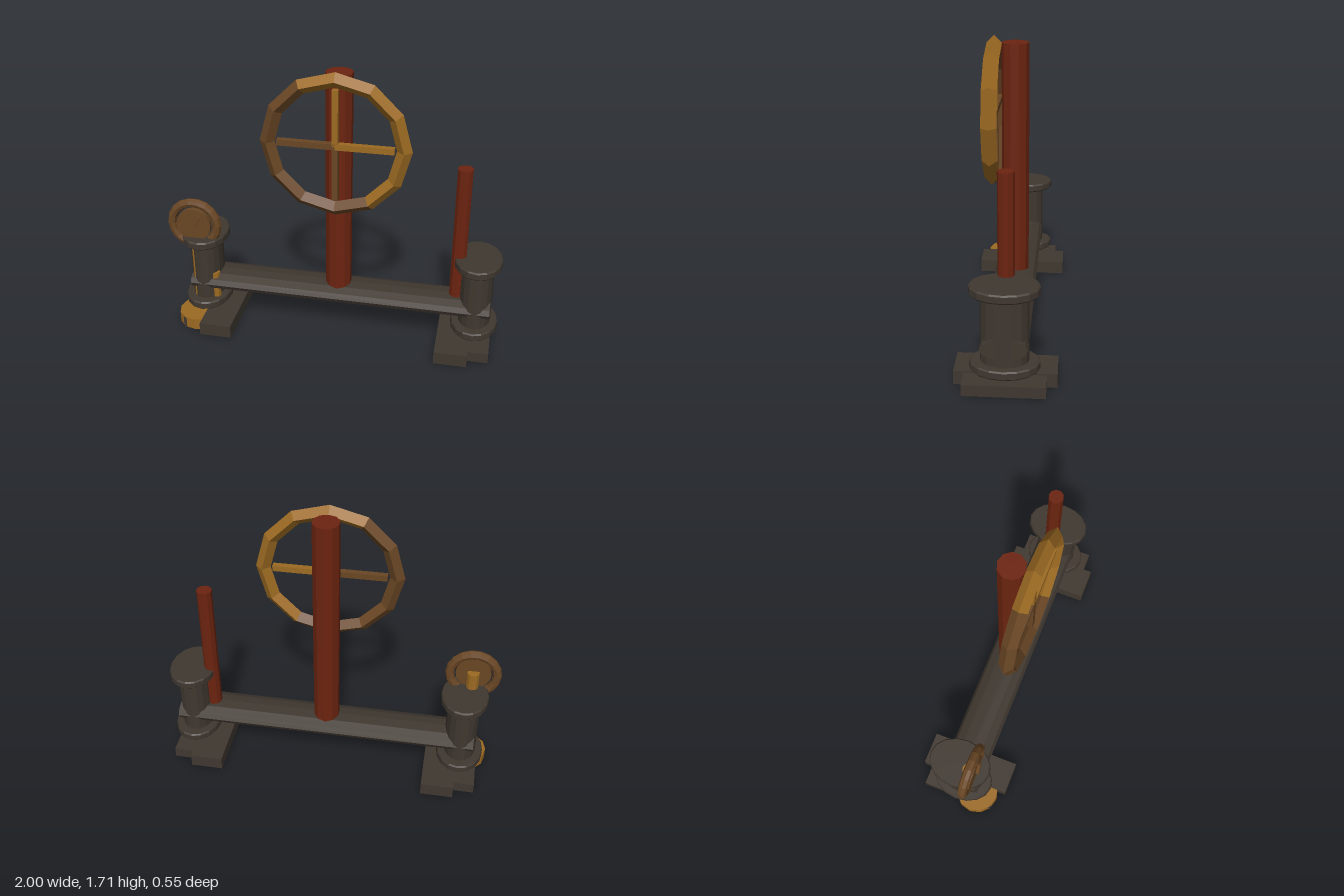
import * as THREE from 'three';

const mat = (name, color) => {
  const m = new THREE.MeshStandardMaterial({ color, flatShading: true });
  m.name = name;
  return m;
};

export function createModel() {
  const iron = mat('dark iron', 0x403830);
  const red = mat('red paint', 0x6c2410);
  const brass = mat('brass', 0x9c6a22);
  const bronze = mat('bronze', 0x694624);

  const model = new THREE.Group();
  model.name = 'valveStand';

  const add = (name, geo, material, x, y, z, parent = model) => {
    const mesh = new THREE.Mesh(geo, material);
    mesh.name = name;
    mesh.position.set(x, y, z);
    parent.add(mesh);
    return mesh;
  };
  // Upright cylinder between two heights
  const rod = (name, r, y0, y1, sides, material, x, z) =>
    add(name, new THREE.CylinderGeometry(r, r, y1 - y0, sides), material, x, (y0 + y1) / 2, z);

  // Flattened horizontal beam
  const beamGeo = new THREE.CylinderGeometry(1, 1, 1.83, 12);
  beamGeo.rotateZ(Math.PI / 2);
  beamGeo.scale(1, 0.06, 0.126);
  add('beam', beamGeo, iron, 0.035, 0.27, 0);

  // Oval columns with bevelled flanges, turned as one profile
  const profile = [
    [0, 0.12], [0.178, 0.12], [0.186, 0.128], [0.186, 0.162], [0.178, 0.17], [0.128, 0.17],
    [0.128, 0.545], [0.178, 0.545], [0.186, 0.553], [0.186, 0.587], [0.178, 0.595], [0, 0.595],
  ].map(([r, y]) => new THREE.Vector2(r, y));
  const columnGeo = new THREE.LatheGeometry(profile, 16);
  columnGeo.scale(0.755, 1, 1);
  add('rightColumn', columnGeo, iron, -0.8, 0, 0);
  add('leftColumn', columnGeo, iron, 0.86, 0, 0);

  // Feet: a long block with a shorter one on its outer side
  const longFoot = new THREE.BoxGeometry(0.195, 0.08, 0.55);
  const shortFoot = new THREE.BoxGeometry(0.125, 0.065, 0.44);
  add('rightFoot', longFoot, iron, -0.69, 0.04, 0);
  add('rightFootStep', shortFoot, iron, -0.847, 0.038, 0);
  add('leftFoot', longFoot, iron, 0.747, 0.04, 0);
  add('leftFootStep', shortFoot, iron, 0.903, 0.038, 0);

  // Red uprights
  rod('mast', 0.078, 0.27, 1.67, 10, red, 0.03, 0);
  rod('sidePost', 0.045, 0.27, 1.155, 10, red, 0.745, 0);

  // Handwheel: diamond-section rim in two patinas, with crossed spokes
  const wheel = new THREE.Group();
  wheel.name = 'handwheel';
  wheel.position.set(0.03, 1.28, 0.118);
  model.add(wheel);
  const arc = (name, material, start, count) => {
    const geo = new THREE.TorusGeometry(0.386, 0.043, 4, count, count * Math.PI / 6);
    add(name, geo, material, 0, 0, 0, wheel).rotation.z = start * Math.PI / 6;
  };
  arc('brassRim', brass, -2, 6);
  arc('bronzeRim', bronze, 4, 6);
  const across = new THREE.BoxGeometry(0.33, 0.035, 0.035);
  const upright = new THREE.BoxGeometry(0.035, 0.33, 0.035);
  add('leftSpoke', across, brass, 0.165, 0, 0, wheel);
  add('rightSpoke', across, bronze, -0.165, 0, 0, wheel);
  add('upperSpoke', upright, brass, 0, 0.165, 0, wheel);
  add('lowerSpoke', upright, bronze, 0, -0.165, 0, wheel);

  // Gauge stem and its round base
  rod('gaugeBase', 0.13, 0.002, 0.073, 12, brass, -0.835, 0.105);
  rod('gaugeStem', 0.037, 0.07, 0.7, 10, brass, -0.835, 0.075);
  rod('drainPipe', 0.028, 0.17, 0.34, 8, brass, -0.732, 0.075);

  // Dial: ring, face and needle
  const dial = new THREE.Group();
  dial.name = 'gauge';
  dial.position.set(-0.835, 0.68, 0.09);
  model.add(dial);
  add('gaugeRing', new THREE.TorusGeometry(0.14, 0.027, 8, 18), bronze, 0, 0, 0, dial);
  const face = new THREE.CylinderGeometry(0.105, 0.105, 0.03, 20);
  face.rotateX(Math.PI / 2);
  add('gaugeFace', face, bronze, 0, 0, 0.012, dial);
  const needle = new THREE.BoxGeometry(0.014, 0.085, 0.018);
  add('gaugeNeedle', needle, bronze, 0.022, 0.026, 0.036, dial).rotation.z = -0.48;

  return model;
}
